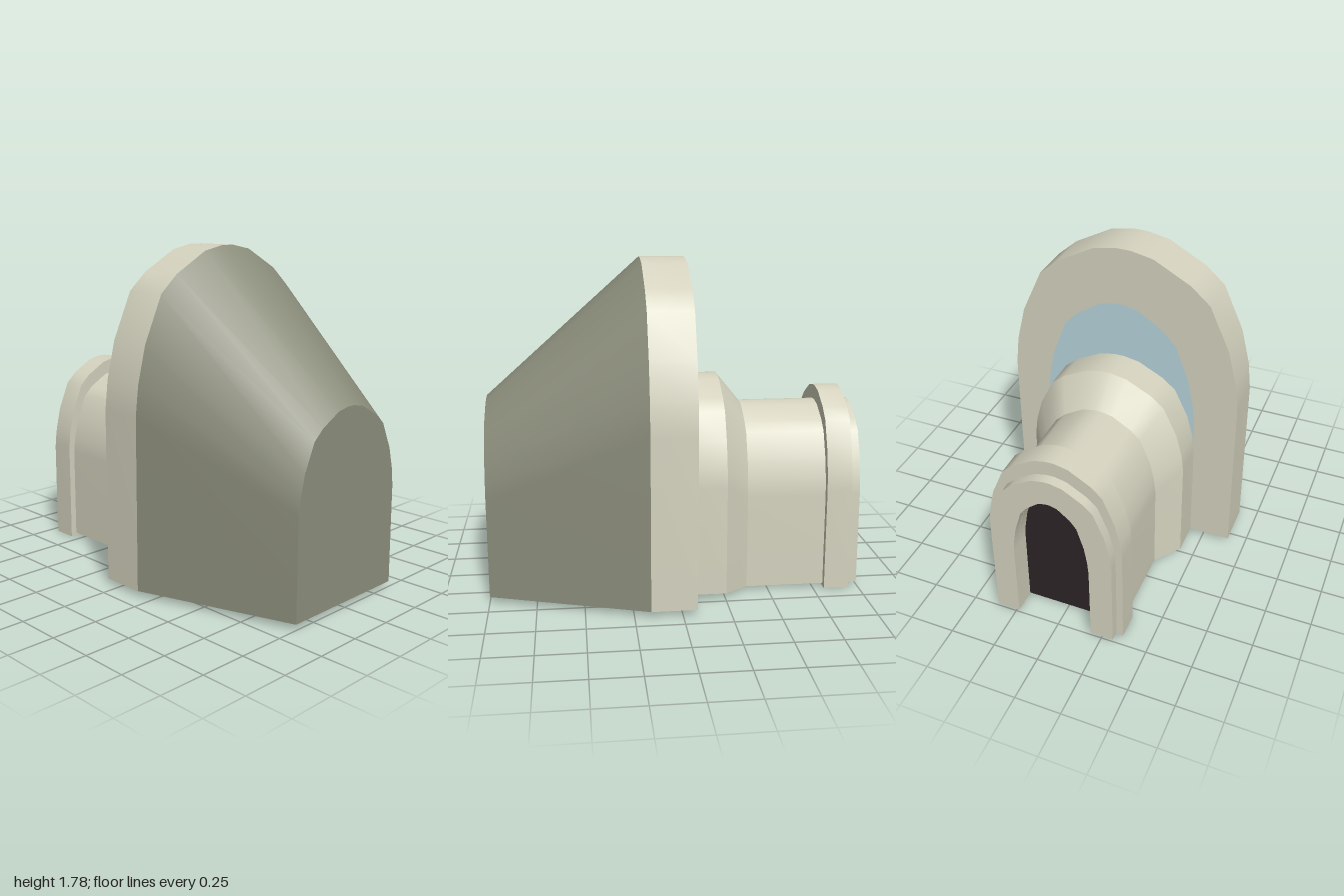
import * as THREE from 'three';

// Half of the arch outline: [share of half-width, share of height], base to crown.
const HALF = [[1, 0], [0.993, 0.526], [0.965, 0.617], [0.89, 0.73], [0.72, 0.87], [0.56, 0.923], [0.25, 0.986], [0.06, 1]];
const OUTLINE = [...HALF, ...HALF.slice().reverse().map(([w, h]) => [-w, h])];

// Arch cross-section at x, running from the +z foot over the crown to the -z foot.
function arch(x, halfWidth, base, top, cz = 0, minY = -1) {
  return OUTLINE.map(([w, h]) => [x, Math.max(minY, base + h * (top - base)), cz + w * halfWidth]);
}

// Surface between two cross-sections, smooth around the arch.
function strip(a, b) {
  const index = [];
  const n = a.length;
  for (let i = 0; i < n - 1; i++) index.push(i, n + i, i + 1, i + 1, n + i, n + i + 1);
  const geometry = new THREE.BufferGeometry();
  geometry.setAttribute('position', new THREE.Float32BufferAttribute([...a, ...b].flat(), 3));
  geometry.setIndex(index);
  geometry.computeVertexNormals();
  return geometry;
}

export function createModel() {
  const model = new THREE.Group();
  const material = (name, color) => {
    const m = new THREE.MeshStandardMaterial({ color, side: THREE.DoubleSide });
    m.name = name;
    return m;
  };
  const beige = material('beige', 0xd4d2be);
  const olive = material('olive', 0x8c8e7c);
  const blue = material('pale blue', 0xb6d3da);
  const dark = material('dark', 0x2c2427);

  const add = (name, mat, a, b) => {
    const mesh = new THREE.Mesh(strip(a, b), mat);
    mesh.name = name;
    model.add(mesh);
  };

  const CZ = -0.02; // the passage sits slightly off centre
  const big = (x) => arch(x, 0.655, 0.03, 1.78);
  const passage = (x) => arch(x, 0.335, 0.015, 0.985, CZ);
  const wide = (x) => arch(x, 0.445, 0.028, 1.145, CZ);
  const rim = (x) => arch(x, 0.37, 0, 1.065, CZ);
  const opening = (x, base = 0.015) => arch(x, 0.21, base, 0.845, CZ);
  const hole = (x, minY) => arch(x, 0.44, 0.03, 1.46, CZ, minY);

  // Tapering hood and its closed end
  add('hood', olive, big(0.165), arch(1, 0.38, 0.03, 1.04));
  add('hoodEnd', olive, arch(1, 0.38, 0.03, 1.04), arch(1, 0, 0.03, 1.04));

  // Broad collar, its back ring and the window above the passage
  add('collar', beige, big(-0.075), big(0.165));
  add('collarFace', beige, hole(-0.075), big(-0.075));
  add('window', blue, arch(-0.075, 0, 0.03, 1.46, CZ, 0.55), hole(-0.075, 0.55));

  // Entrance passage, flaring towards the collar
  add('passage', beige, passage(-1), passage(-0.385));
  add('passageFlare', beige, passage(-0.385), wide(-0.255));
  add('passageNeck', beige, wide(-0.255), wide(-0.075));

  // Raised rim around the entrance
  add('rim', beige, rim(-0.945), rim(-0.81));
  add('rimFace', beige, opening(-0.945, 0), rim(-0.945));
  add('rimFace', beige, rim(-0.81), opening(-0.81, 0));

  // Entrance face, inner lining and door
  add('entranceFace', beige, opening(-1), passage(-1));
  add('entranceLining', beige, opening(-0.81), opening(-1));
  add('door', dark, arch(-0.87, 0, 0.018, 0.845, CZ), opening(-0.87, 0.018));

  return model;
}
